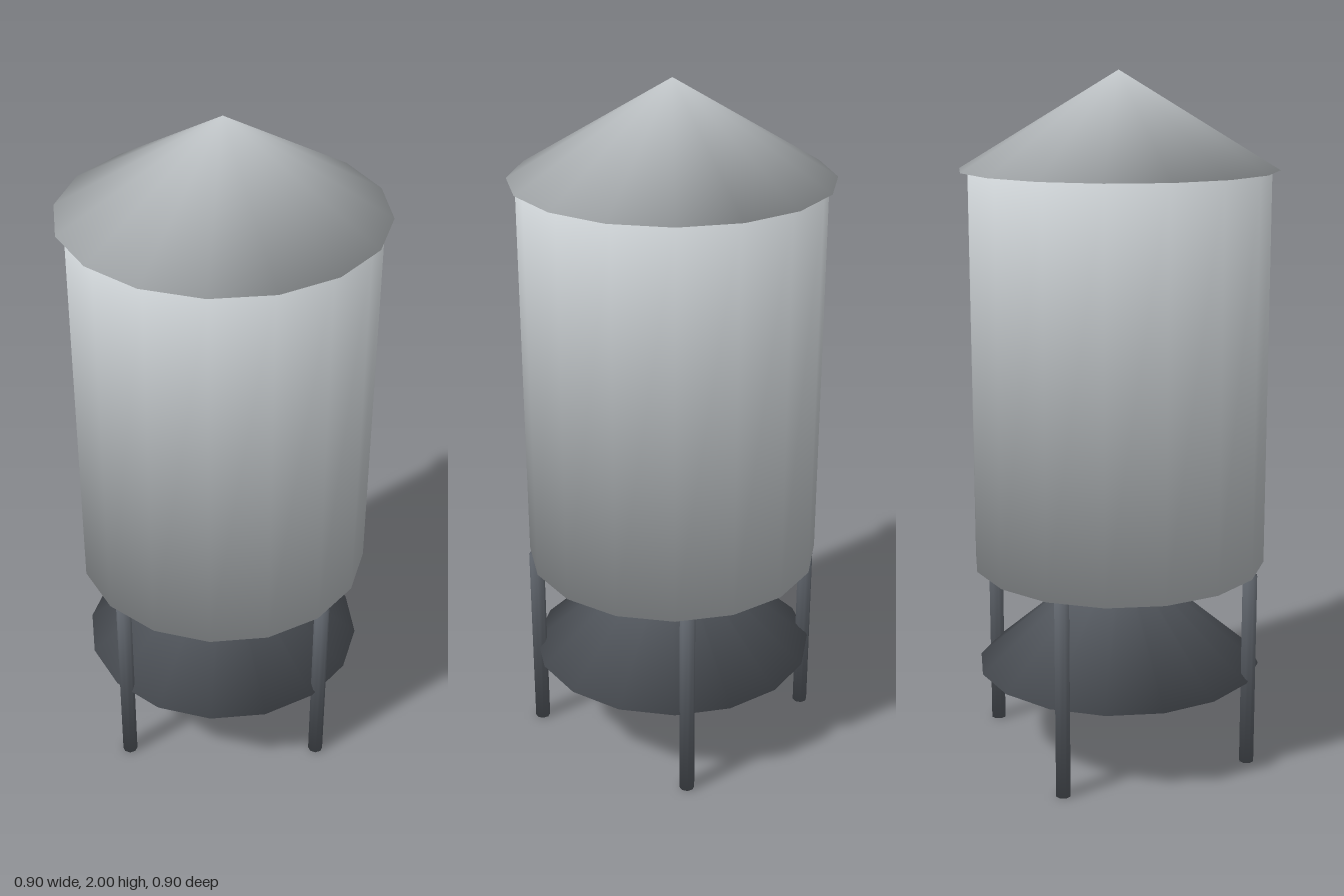
import * as THREE from 'three';

const paint = (name, color) => {
  const m = new THREE.MeshStandardMaterial({ color });
  m.name = name;
  return m;
};

// Closed round part between two heights, with normals softened over its rims
function roundPart(name, material, rTop, rBottom, yBottom, yTop, sides, turn = 0) {
  const h = yTop - yBottom;
  const geo = new THREE.CylinderGeometry(rTop, rBottom, h, sides, 1, false, turn);
  const slope = Math.hypot(h, rBottom - rTop);
  const out = h / slope;
  const up = (rBottom - rTop) / slope;
  const pos = geo.attributes.position;
  const n = new THREE.Vector3();
  for (let i = 0; i < pos.count; i++) {
    const x = pos.getX(i), z = pos.getZ(i), r = Math.hypot(x, z);
    const end = Math.sign(pos.getY(i));
    if (r < 1e-5) n.set(0, end, 0);
    else n.set(out * x / r, up + 0.97 * end, out * z / r).normalize();
    geo.attributes.normal.setXYZ(i, n.x, n.y, n.z);
  }
  geo.translate(0, yBottom + h / 2, 0);
  const mesh = new THREE.Mesh(geo, material);
  mesh.name = name;
  return mesh;
}

export function createModel() {
  const silo = new THREE.Group();
  silo.name = 'silo';
  const steel = paint('pale steel', 0xc8cdd0);
  const iron = paint('dark iron', 0x5b6067);
  const turn = THREE.MathUtils.degToRad(17.5);

  // Tank, conical roof with a small overhang, and spreading cone below
  silo.add(
    roundPart('tank', steel, 0.43, 0.43, 0.58, 1.727, 16, turn),
    roundPart('roof', steel, 0, 0.453, 1.727, 2, 16, turn),
    roundPart('lowerCone', iron, 0.045, 0.42, 0.26, 0.58, 16, turn)
  );

  // Four legs around the rim
  for (let i = 0; i < 4; i++) {
    const a = i * Math.PI / 2;
    const leg = roundPart('leg', iron, 0.022, 0.022, 0, 0.58, 8);
    leg.position.set(0.41 * Math.sin(a), 0, 0.41 * Math.cos(a));
    silo.add(leg);
  }
  return silo;
}
